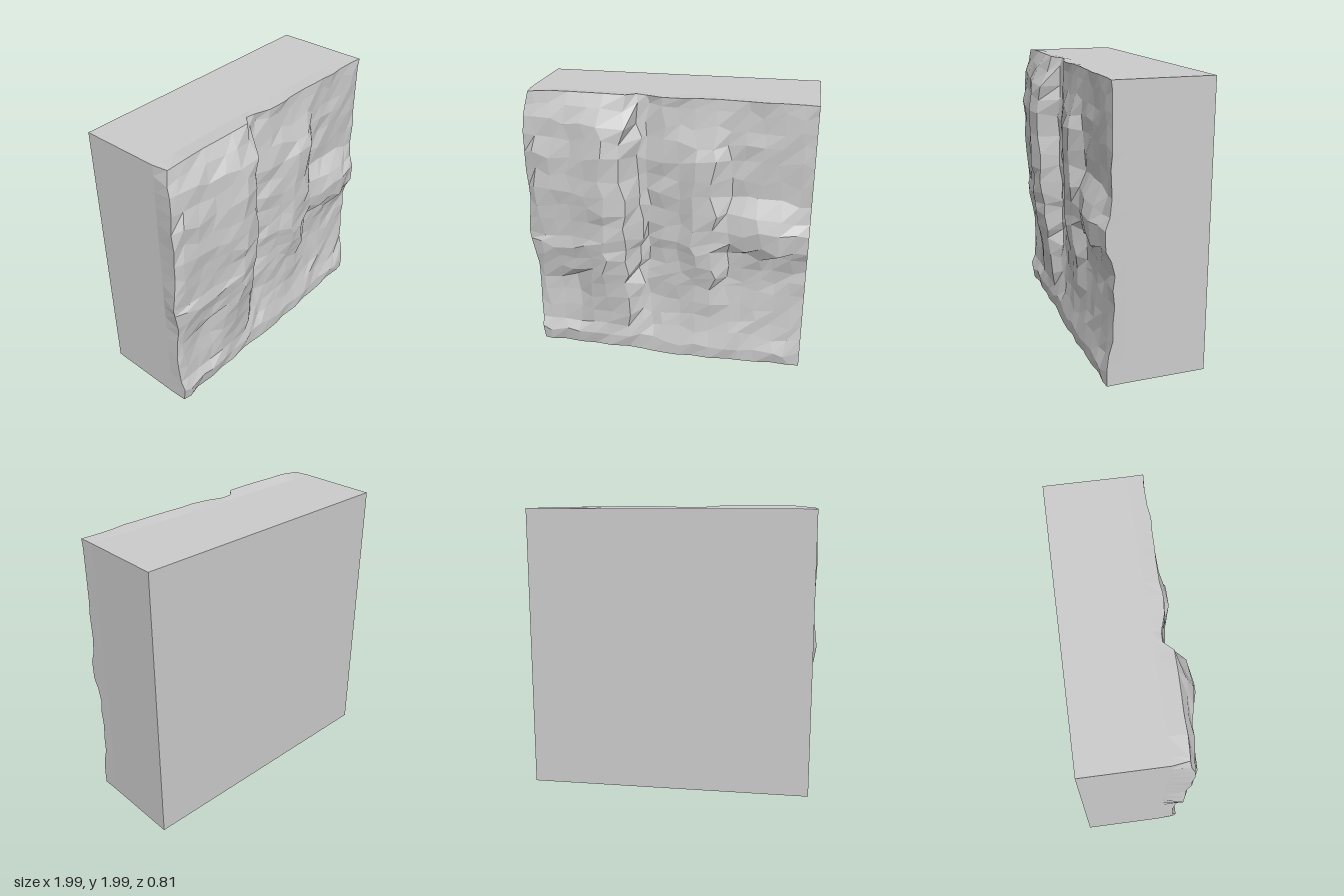
import * as THREE from 'three';

// Piecewise-linear lookup through [position, value] points
function ramp(points, t) {
  if (t <= points[0][0]) return points[0][1];
  for (let i = 1; i < points.length; i++) {
    const [a, va] = points[i - 1], [b, vb] = points[i];
    if (t <= b) return va + (vb - va) * (t - a) / (b - a);
  }
  return points[points.length - 1][1];
}

function seeded(seed) {
  return () => {
    seed = (seed * 16807) % 2147483647;
    return seed / 2147483647 - 0.5;
  };
}

// General lean of the wall, with a lip along the foot
const wall = [[0, 0.27], [0.13, 0.285], [0.24, 0.255], [0.4, 0.24], [0.7, 0.23], [1, 0.24], [1.5, 0.255], [1.98, 0.255]];
// Broad slab on the model's right
const slabAcross = [[-1, 0.03], [-0.9, 0.075], [-0.6, 0.105], [-0.42, 0.15], [-0.27, 0.12], [-0.17, 0]];
const slabUp = [[0.1, 0], [0.3, 0.25], [0.5, 0.6], [0.8, 0.9], [1.2, 1], [1.6, 0.95], [1.8, 0.75], [1.98, 0.1]];
// Deep vertical crack
const crackAcross = [[-0.25, 0], [-0.17, 1], [-0.1, 0.8], [0, 0.15], [0.15, 0]];
const crackUp = [[0.1, 0], [0.3, 0.02], [1, 0.025], [1.7, 0.03], [1.98, 0.06]];
// Narrow pillar beside the crack
const pillarAcross = [[-0.1, 0], [0, 0.25], [0.16, 0.45], [0.22, 1], [0.34, 0.85], [0.44, 0]];
const pillarUp = [[0.3, 0], [0.6, 0.04], [0.8, 0.075], [1.2, 0.085], [1.6, 0.08], [1.75, 0.03], [1.9, 0]];
// Jutting ledge on the model's left
const ledgeAcross = [[0.4, 0], [0.47, 0.55], [0.65, 1], [0.88, 0.75], [1, 0.4]];
const ledgeUp = [[0.8, 0], [0.88, 0.02], [0.94, 0.085], [1.1, 0.1], [1.2, 0.055], [1.3, 0]];

function depth(x, y) {
  // The slab's outer corner is undercut below a small overhang
  const undercut = x < -0.62 && y < 0.64 ? 0.35 : 1;
  return ramp(wall, y)
    + ramp(slabAcross, x) * ramp(slabUp, y) * undercut
    - ramp(crackAcross, x) * ramp(crackUp, y)
    + ramp(pillarAcross, x) * ramp(pillarUp, y)
    + ramp(ledgeAcross, x) * ramp(ledgeUp, y + (x > 0.8 ? 0.03 : 0));
}

function createRockFace(material) {
  const xs = [-0.97, -0.9, -0.78, -0.66, -0.54, -0.42, -0.28, -0.18, -0.12, -0.02, 0.1, 0.21, 0.34, 0.45, 0.55, 0.66, 0.78, 0.9, 0.99];
  const ys = [0.02, 0.12, 0.23, 0.34, 0.46, 0.59, 0.68, 0.78, 0.88, 0.95, 1.07, 1.18, 1.3, 1.43, 1.56, 1.68, 1.79, 1.9, 1.98];
  const nx = xs.length, ny = ys.length;
  // One extra ring of vertices folds back onto the block
  const geometry = new THREE.PlaneGeometry(1, 1, nx + 1, ny + 1);
  const pos = geometry.attributes.position;
  const rand = seeded(4217);
  for (let r = 0; r < ny + 2; r++) {
    for (let c = 0; c < nx + 2; c++) {
      const i = r * (nx + 2) + c;
      const ringX = c === 0 || c === nx + 1, ringY = r === 0 || r === ny + 1;
      const col = Math.min(Math.max(c - 1, 0), nx - 1);
      const row = Math.min(Math.max(ny - r, 0), ny - 1);
      let x = xs[col], y = ys[row];
      if (ringX || ringY) {
        x = THREE.MathUtils.clamp(x, -0.955, 0.99);
        y = THREE.MathUtils.clamp(y, 0.03, 1.975);
        if (ringX) x = c === 0 ? -0.955 : 0.99;
        if (ringY) y = r === 0 ? 1.975 : 0.03;
        pos.setXYZ(i, x, y, 0.15);
        continue;
      }
      const jx = rand() * 0.055, jy = rand() * 0.06, jz = rand() * 0.022;
      const z = depth(x, y) + jz;
      if (col > 0 && col < nx - 1) x += jx;
      if (row > 0 && row < ny - 1) y += jy;
      // Uneven outline: bulging side, sagging foot, raised crown
      if (col === 0) x = ramp([[0.02, -0.95], [0.4, -0.965], [0.7, -0.955], [0.94, -1], [1.2, -0.97], [1.6, -0.985], [1.85, -0.97], [1.98, -0.94]], y);
      if (col === nx - 1) x = 0.993;
      if (row === 0) y = ramp([[-0.95, 0.03], [-0.2, 0.02], [0.07, 0.002], [0.4, 0.01], [0.99, 0.03]], x);
      if (row === ny - 1) y = ramp([[-0.95, 1.975], [-0.8, 1.99], [-0.3, 1.99], [-0.1, 1.975], [0.3, 1.985], [0.99, 1.975]], x);
      pos.setXYZ(i, x, y, z);
    }
  }
  geometry.computeVertexNormals();
  const mesh = new THREE.Mesh(geometry, material);
  mesh.name = 'rockFace';
  return mesh;
}

export function createModel() {
  const group = new THREE.Group();
  group.name = 'rockWallBlock';
  const stone = new THREE.MeshStandardMaterial({ color: 0xcccccc, flatShading: true, side: THREE.DoubleSide });

  // Plain block behind the carved face
  const block = new THREE.Mesh(new THREE.BoxGeometry(1.945, 1.945, 0.555), stone);
  block.position.set(0.0175, 1.0025, -0.1275);
  block.name = 'block';

  group.add(block, createRockFace(stone));
  return group;
}
